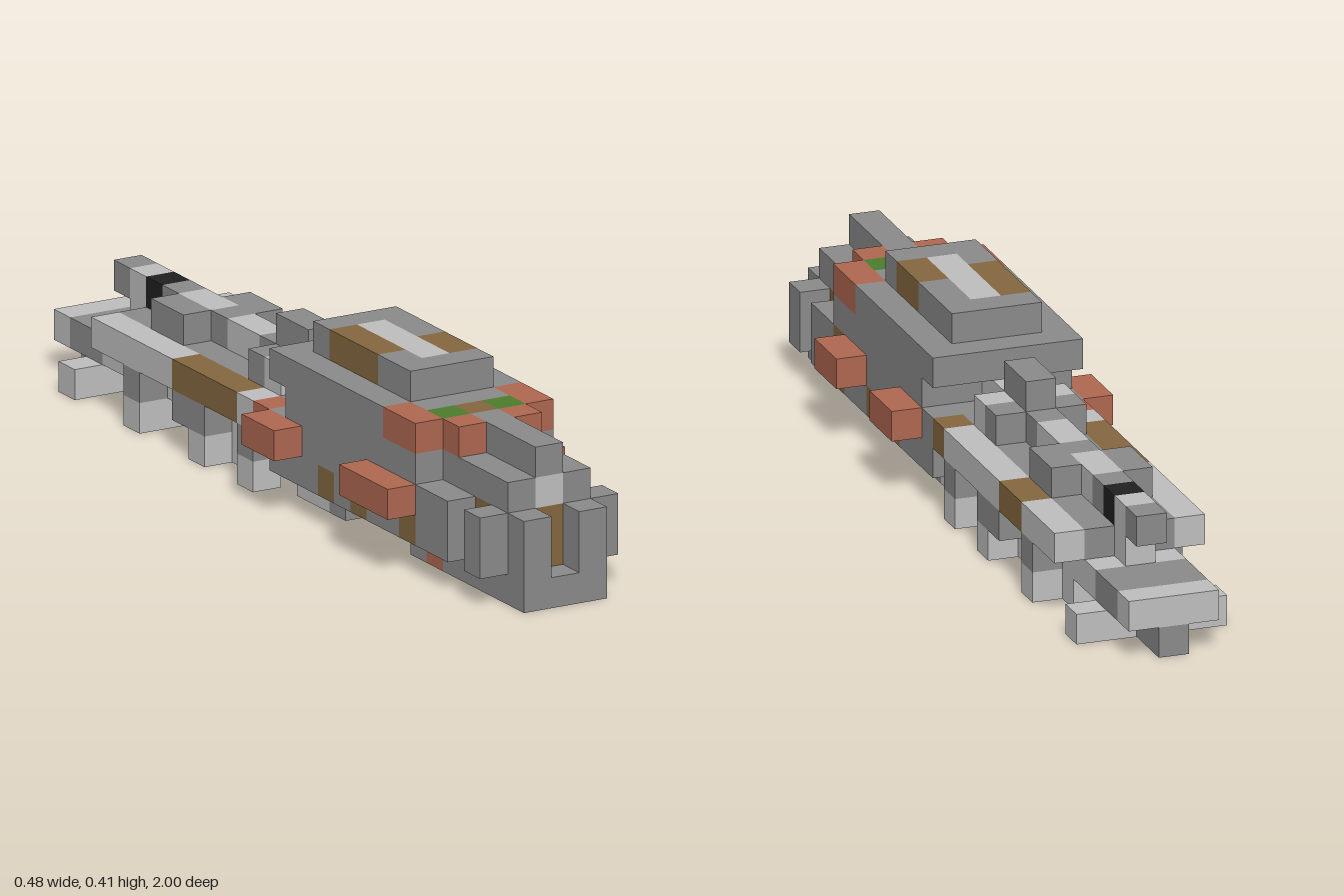
import * as THREE from 'three';

const UNIT = 2 / 29; // edge of one block

const mat = (name, color) => {
  const m = new THREE.MeshStandardMaterial({ color });
  m.name = name;
  return m;
};

export function createModel() {
  const M = {
    grey: mat('grey', 0x8a8a8a),
    light: mat('lightGrey', 0xbebebe),
    brown: mat('brown', 0x84673f),
    red: mat('rustRed', 0xae6750),
    green: mat('green', 0x4b7d2c),
    black: mat('black', 0x202020),
  };

  // Block grid: x -3..3, y 0..5, k 0 (front) .. 28 (back); later fills repaint.
  const cells = new Map();
  const key = (x, y, k) => `${x},${y},${k}`;
  const fill = (part, colour, [x0, x1], [y0, y1], [k0, k1]) => {
    for (let x = x0; x <= x1; x++)
      for (let y = y0; y <= y1; y++)
        for (let k = k0; k <= k1; k++) cells.set(key(x, y, k), { part, colour, x, y, k });
  };
  const pair = (part, colour, x, y, k) => {
    fill(part, colour, [x, x], y, k);
    fill(part, colour, [-x, -x], y, k);
  };

  // Main hull
  fill('hull', 'grey', [-2, 2], [1, 3], [5, 12]);
  fill('hull', 'grey', [-2, 2], [1, 2], [13, 13]);
  fill('hull', 'grey', [-2, 2], [4, 4], [6, 13]);
  pair('hull', 'brown', 2, [1, 2], [5, 5]);
  for (const k of [8, 10]) pair('hull', 'brown', 2, [1, 1], [k, k]);
  fill('hull', 'light', [0, 0], [1, 1], [8, 10]);

  // Raised roof with inlays
  fill('roof', 'grey', [-1, 1], [5, 5], [7, 12]);
  fill('roof', 'light', [0, 0], [5, 5], [8, 11]);
  fill('roof', 'brown', [1, 1], [5, 5], [8, 9]);
  fill('roof', 'brown', [-1, -1], [5, 5], [9, 11]);

  // Nose, forked bow and upper spine
  fill('nose', 'grey', [-1, 1], [0, 3], [1, 4]);
  fill('keel', 'grey', [-1, 1], [0, 0], [0, 6]);
  pair('keel', 'red', 1, [0, 0], [5, 5]);
  pair('bowFork', 'grey', 1, [1, 2], [0, 0]);
  fill('bowPanel', 'brown', [0, 0], [1, 2], [1, 1]);
  fill('bowLamp', 'light', [0, 0], [3, 3], [1, 1]);
  fill('spine', 'grey', [0, 0], [4, 4], [1, 4]);
  pair('nose', 'brown', 1, [1, 2], [2, 2]);
  pair('noseFin', 'grey', 2, [1, 2], [1, 1]);
  pair('noseFin', 'grey', 2, [1, 2], [3, 4]);

  // Red collar and green lights
  pair('collar', 'red', 1, [4, 4], [4, 4]);
  pair('collar', 'red', 2, [4, 4], [5, 6]);
  fill('collar', 'brown', [0, 0], [4, 4], [5, 5]);
  pair('collarLight', 'green', 1, [4, 4], [5, 5]);

  // Side pods, slightly uneven
  fill('sidePod', 'red', [3, 3], [2, 2], [6, 7]);
  fill('sidePod', 'red', [3, 3], [2, 2], [11, 12]);
  fill('sidePod', 'red', [-3, -3], [2, 2], [5, 7]);
  fill('sidePod', 'red', [-3, -3], [2, 2], [12, 13]);

  // Tail beam
  fill('tailBeam', 'grey', [-1, 1], [1, 2], [14, 24]);
  pair('tailBeam', 'light', 1, [1, 1], [14, 24]);
  pair('tailLedge', 'light', 2, [2, 2], [14, 24]);
  fill('tailLedge', 'brown', [2, 2], [2, 2], [14, 14]);
  fill('tailLedge', 'brown', [2, 2], [2, 2], [20, 21]);
  fill('tailLedge', 'red', [-2, -2], [2, 2], [14, 14]);
  fill('tailLedge', 'brown', [-2, -2], [2, 2], [16, 19]);
  for (const [a, b] of [[15, 15], [18, 19], [22, 22]]) pair('tailBracket', 'grey', 2, [1, 1], [a, b]);

  // Ridge along the tail, with a sight block and nubs
  fill('ridge', 'grey', [0, 0], [3, 3], [13, 26]);
  for (const [a, b] of [[13, 14], [18, 19], [21, 22], [25, 25]]) fill('ridge', 'light', [0, 0], [3, 3], [a, b]);
  fill('ridge', 'black', [0, 0], [3, 3], [24, 24]);
  fill('ridgeBase', 'grey', [-1, 1], [3, 3], [15, 16]);
  pair('ridgeBase', 'light', 1, [3, 3], [15, 15]);
  fill('ridgeBlock', 'grey', [0, 0], [4, 4], [15, 16]);
  fill('ridgeNub', 'grey', [1, 1], [3, 3], [20, 21]);
  fill('ridgeNub', 'grey', [-1, -1], [3, 3], [21, 22]);
  fill('ridgePost', 'light', [0, 0], [2, 2], [25, 25]);

  // Stern plate
  fill('sternPlate', 'light', [-1, 1], [1, 1], [25, 28]);
  fill('sternPlate', 'grey', [-1, 1], [1, 1], [26, 27]);

  // Underside rail, crossbars and feet
  fill('underRail', 'light', [0, 0], [0, 0], [12, 25]);
  fill('underRail', 'grey', [-1, 1], [0, 0], [11, 11]);
  fill('underRail', 'grey', [0, 0], [0, 0], [20, 20]);
  fill('underRail', 'grey', [0, 0], [0, 0], [27, 28]);
  for (const [a, b] of [[12, 13], [16, 17], [19, 19], [22, 23], [26, 26]]) pair('crossbar', 'light', 1, [0, 0], [a, b]);
  fill('crossbar', 'light', [0, 0], [0, 0], [26, 26]);
  for (const k of [15, 18, 22, 26]) pair('foot', 'light', 2, [0, 0], [k, k]);

  // Exposed faces of each part and colour become one mesh
  const dirs = [[1, 0, 0], [-1, 0, 0], [0, 1, 0], [0, -1, 0], [0, 0, 1], [0, 0, -1]];
  const groups = new Map();
  for (const c of cells.values()) {
    const id = `${c.part}|${c.colour}`;
    if (!groups.has(id)) groups.set(id, { pos: [], nor: [] });
    const { pos, nor } = groups.get(id);
    const centre = new THREE.Vector3(c.x, c.y + 0.5, 14 - c.k);
    for (const d of dirs) {
      if (cells.has(key(c.x + d[0], c.y + d[1], c.k - d[2]))) continue;
      const n = new THREE.Vector3(...d);
      const u = new THREE.Vector3(d[1], d[2], d[0]); // u x v = n
      const v = n.clone().cross(u);
      for (const [a, b] of [[-1, -1], [1, -1], [1, 1], [-1, -1], [1, 1], [-1, 1]]) {
        const p = centre.clone().addScaledVector(n, 0.5).addScaledVector(u, a / 2).addScaledVector(v, b / 2);
        pos.push(...p.multiplyScalar(UNIT).toArray());
        nor.push(...d);
      }
    }
  }

  const model = new THREE.Group();
  model.name = 'blockShip';
  for (const [id, { pos, nor }] of groups) {
    if (!pos.length) continue;
    const [part, colour] = id.split('|');
    const geo = new THREE.BufferGeometry();
    geo.setAttribute('position', new THREE.Float32BufferAttribute(pos, 3));
    geo.setAttribute('normal', new THREE.Float32BufferAttribute(nor, 3));
    const mesh = new THREE.Mesh(geo, M[colour]);
    mesh.name = part;
    model.add(mesh);
  }
  return model;
}
